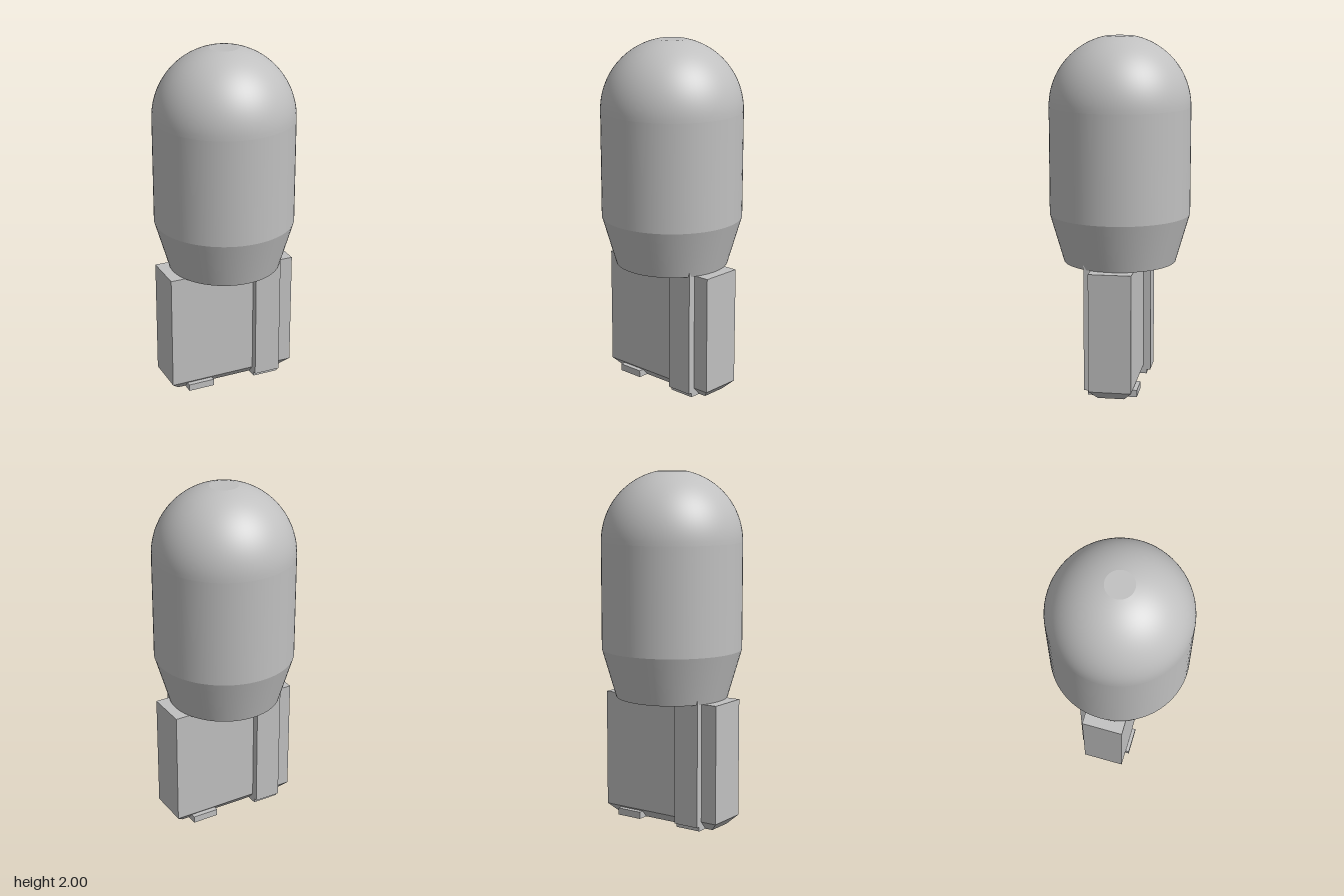
import * as THREE from 'three';

export function createModel() {
  const model = new THREE.Group();
  model.name = 'wedgeBulb';
  const grey = new THREE.MeshStandardMaterial({ color: 0xc0c0c0 });
  grey.name = 'light grey';

  const add = (name, geometry, parent = model) => {
    const mesh = new THREE.Mesh(geometry, grey);
    mesh.name = name;
    parent.add(mesh);
    return mesh;
  };
  const lathe = (name, points) =>
    add(name, new THREE.LatheGeometry(points.map(([r, y]) => new THREE.Vector2(r, y)), 72));
  // box given by its limits
  const block = (name, x0, x1, y0, y1, z0, z1, parent) =>
    add(name, new THREE.BoxGeometry(x1 - x0, y1 - y0, z1 - z0)
      .translate((x0 + x1) / 2, (y0 + y1) / 2, (z0 + z1) / 2), parent);

  // glass: separate lathes keep the edges between sections sharp
  const R = 0.4, capR = 0.08, centreY = 2 - Math.sqrt(R * R - capR * capR);
  lathe('glassUnderside', [[0, 0.725], [0.32, 0.725]]);
  lathe('glassNeck', [[0.32, 0.725], [R, 1]]);
  lathe('glassBody', [[R, 1], [R, centreY]]);
  const dome = [];
  const endAngle = Math.acos(capR / R);
  for (let i = 0; i <= 24; i++) {
    const a = endAngle * i / 24;
    dome.push([R * Math.cos(a), centreY + R * Math.sin(a)]);
  }
  lathe('glassDome', dome);
  lathe('glassTip', [[capR, 2], [0, 2]]);

  // flat wedge base with a bevelled foot
  block('wedgeBase', -0.38, 0.38, 0.05, 0.725, -0.12, 0.12);
  const foot = new THREE.BoxGeometry(0.76, 0.05, 0.24).translate(0, 0.025, 0);
  const p = foot.attributes.position;
  for (let i = 0; i < p.count; i++) {
    if (p.getY(i) < 0.01) {
      p.setX(i, Math.sign(p.getX(i)) * 0.33);
      p.setZ(i, Math.sign(p.getZ(i)) * 0.075);
    }
  }
  foot.computeVertexNormals();
  add('bevelledFoot', foot);

  // contact rib and tabs, repeated on the back by half a turn
  for (const side of ['front', 'back']) {
    const contacts = new THREE.Group();
    contacts.name = side + 'Contacts';
    block(side + 'Rib', 0.13, 0.285, 0.025, 0.78, 0.06, 0.162, contacts);
    block(side + 'RibFoot', 0.13, 0.285, 0, 0.025, 0.06, 0.14, contacts);
    block(side + 'Tab', -0.285, -0.13, 0, 0.04, 0.06, 0.14, contacts);
    if (side === 'back') contacts.rotation.y = Math.PI;
    model.add(contacts);
  }
  return model;
}
